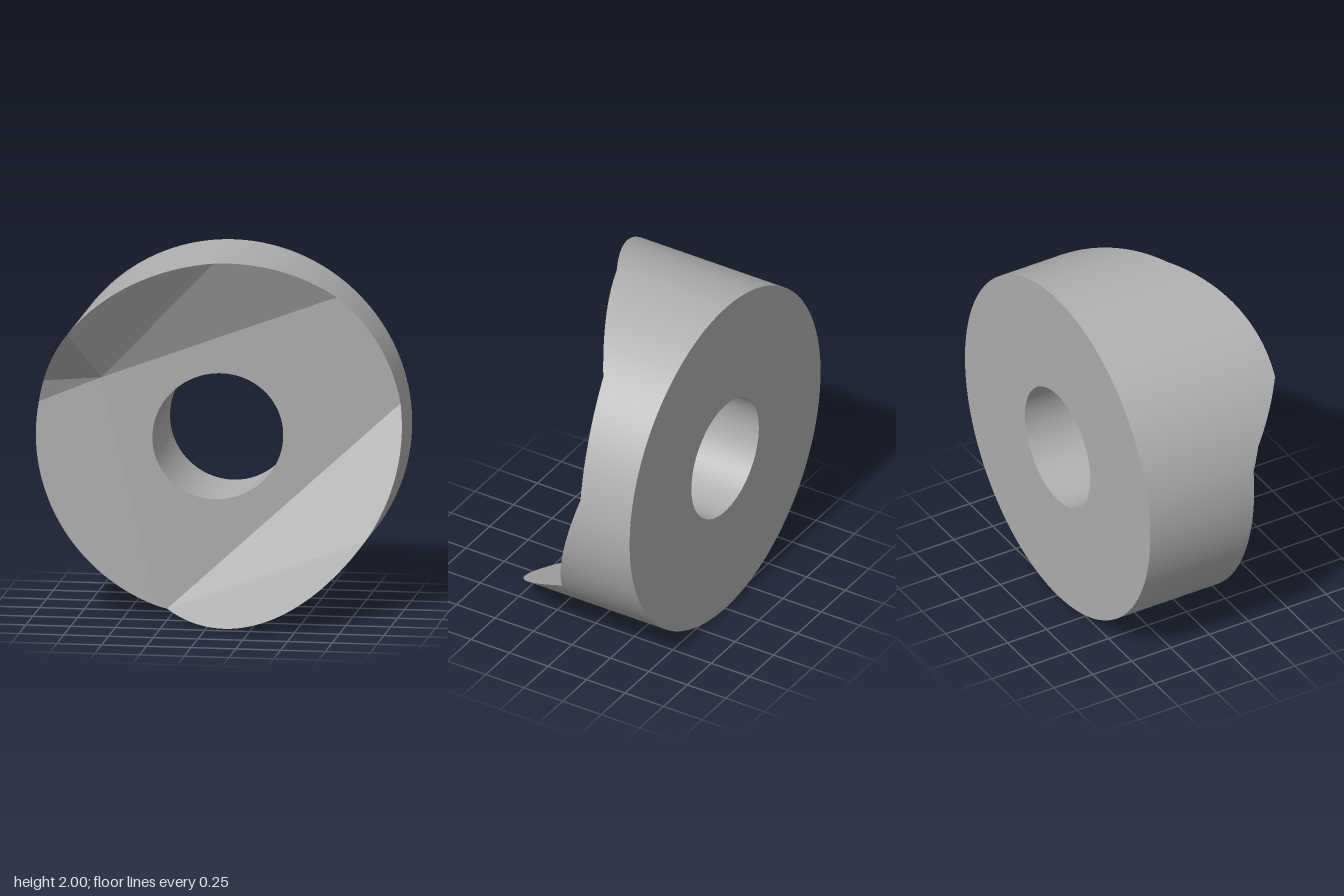
import * as THREE from 'three';

const BACK = -0.53, HOLE = 0.353, CENTRE_Y = 1;
const RAD = Math.PI / 180;

// Point on a circle round the axis, with an optional height z
const onCircle = (deg, z = 0, r = 1) =>
  new THREE.Vector3(r * Math.cos(deg * RAD), r * Math.sin(deg * RAD), z);

// Height function of the plane through three points
function planeThrough(a, b, c) {
  const p = new THREE.Plane().setFromCoplanarPoints(a, b, c), n = p.normal;
  return (x, y) => -(p.constant + n.x * x + n.y * y) / n.z;
}

function arc(from, to, r = 1) {
  const n = Math.max(2, Math.ceil((to - from) / 1.5));
  return Array.from({ length: n + 1 }, (_, i) => onCircle(from + (to - from) * i / n, 0, r));
}

// Flat facet: an outline lifted onto its plane
function facetGeometry(outline, height, hole) {
  const shape = new THREE.Shape(outline.map(p => new THREE.Vector2(p.x, p.y)));
  if (hole) shape.holes.push(new THREE.Path(hole.map(p => new THREE.Vector2(p.x, p.y))));
  const g = new THREE.ShapeGeometry(shape);
  const pos = g.attributes.position;
  for (let i = 0; i < pos.count; i++) pos.setZ(i, height(pos.getX(i), pos.getY(i)));
  g.computeVertexNormals();
  return g;
}

// Smooth cylindrical wall from the back face up to a sloping plane
function wallGeometry(points, height, inward = false) {
  const pos = [], nor = [], idx = [], s = inward ? -1 : 1;
  points.forEach((p, i) => {
    const r = Math.hypot(p.x, p.y);
    pos.push(p.x, p.y, BACK, p.x, p.y, height(p.x, p.y));
    for (let k = 0; k < 2; k++) nor.push(s * p.x / r, s * p.y / r, 0);
    if (i === 0) return;
    const a = 2 * i - 2, b = a + 1, c = a + 2, d = a + 3;
    if (inward) idx.push(a, d, c, a, b, d);
    else idx.push(a, c, d, a, d, b);
  });
  const g = new THREE.BufferGeometry();
  g.setAttribute('position', new THREE.Float32BufferAttribute(pos, 3));
  g.setAttribute('normal', new THREE.Float32BufferAttribute(nor, 3));
  g.setIndex(idx);
  return g;
}

export function createModel() {
  const group = new THREE.Group();
  const body = new THREE.Group();
  body.name = 'facetedRing';
  body.position.y = CENTRE_Y;
  group.add(body);
  const grey = new THREE.MeshStandardMaterial({ color: 0xb0b0b0 });
  grey.name = 'grey';
  const add = (name, geometry) => {
    const mesh = new THREE.Mesh(geometry, grey);
    mesh.name = name;
    body.add(mesh);
    return mesh;
  };

  // Main sloping face, and the corners where the facets meet the rim
  const main = (x, y) => 0.028 - 0.229 * x - 0.0216 * y;
  const lift = p => p.setZ(main(p.x, p.y));
  const aA = 50.3, aH = 90, aP = 141.7, aQ = 161.4, aG = 169, aF = 250.8, aD = 254.3, aC = 325.2, aB = 369.8;
  const E = lift(new THREE.Vector3(-0.63, 0.34, 0));
  const A = lift(onCircle(aA)), B = lift(onCircle(aB));
  const D = lift(onCircle(aD)), F = lift(onCircle(aF));
  const H = onCircle(aH, 0.175), P = onCircle(aP, 0.4), Q = onCircle(aQ, 0.195);
  const G = onCircle(aG, 0.145), C = onCircle(aC, 0.02), peak = onCircle(288.1, 0.525);

  // Facets: name, height, rim arcs, inner corner
  const facets = [
    ['upperRightFacet', planeThrough(E, A, H), [[aA, aH]], E],
    ['upperLeftFacet', planeThrough(E, H, P), [[aH, aP]], E],
    ['steepSideFacet', planeThrough(E, P, Q), [[aP, aQ]], E],
    ['smallSideFacet', planeThrough(E, Q, G), [[aQ, aG]], E],
    ['sideFacet', planeThrough(E, G, F), [[aG, aF]], E],
    ['lowerFacet', planeThrough(D, C, B), [[aC, aB]], D],
    ['lipFacet', planeThrough(D, peak, C), [[aD, aC]], null],
    ['mainFace', main, [[aF, aD], [aB, aA + 360]], E],
  ];
  for (const [name, height, spans, corner] of facets) {
    const arcs = spans.map(([from, to]) => arc(from, to));
    const outline = corner ? [corner, ...arcs.flat()] : arcs.flat();
    const hole = name === 'mainFace' ? arc(0, 360, HOLE).slice(0, -1).reverse() : null;
    add(name, facetGeometry(outline, height, hole));
    arcs.forEach(points => add('rimWall', wallGeometry(points, height)));
  }

  // Bore and flat back
  add('bore', wallGeometry(arc(0, 360, HOLE), main, true));
  const back = add('backFace', new THREE.RingGeometry(HOLE, 1, 240));
  back.rotation.y = Math.PI;
  back.position.z = BACK;
  return group;
}
